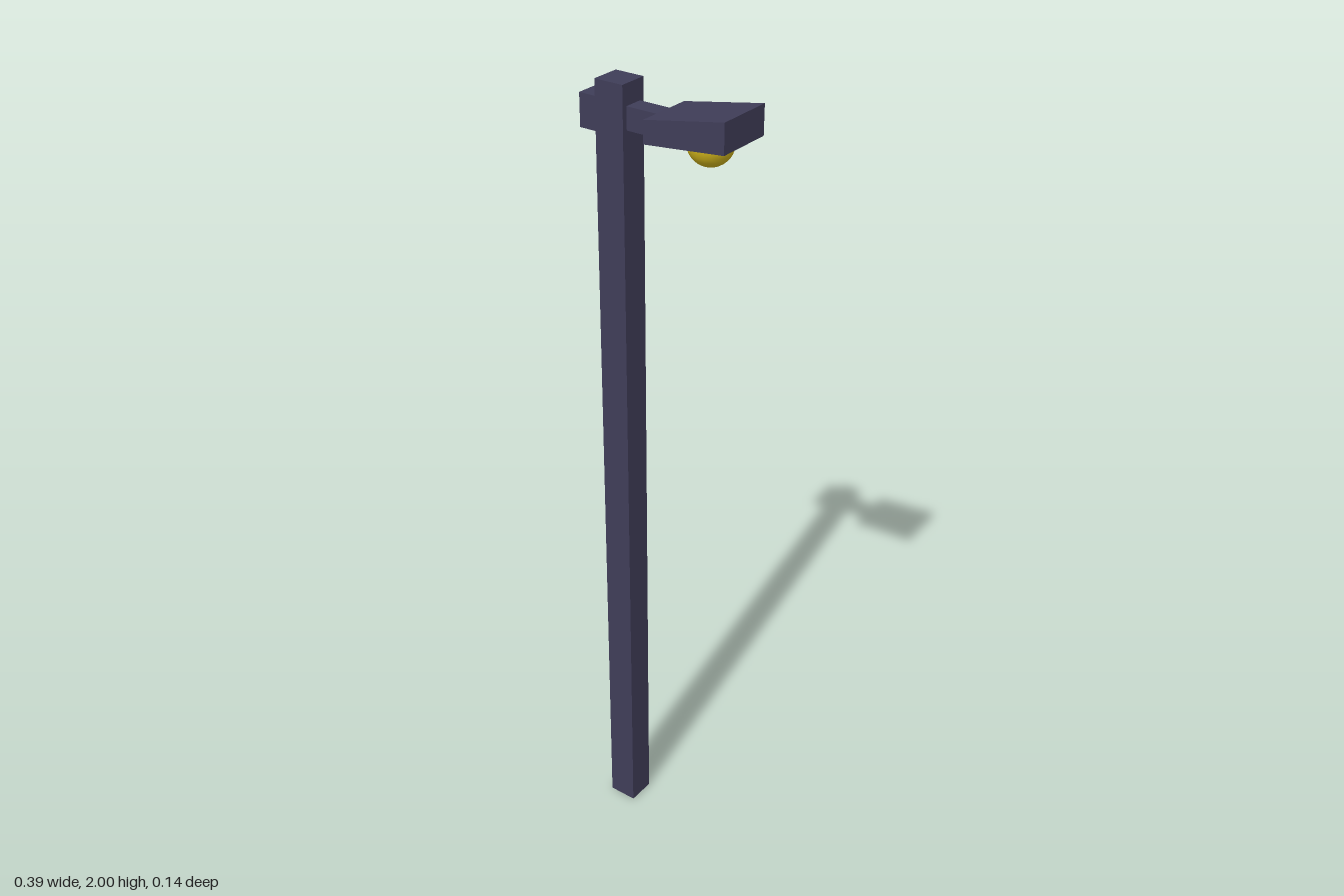
import * as THREE from 'three';

export function createModel() {
  const group = new THREE.Group();
  const metal = new THREE.MeshStandardMaterial({ color: 0x3f3d58 });
  metal.name = 'dark metal';
  const glow = new THREE.MeshStandardMaterial({ color: 0xd0b41c });
  glow.name = 'bulb yellow';

  const add = (name, geometry, material) => {
    const mesh = new THREE.Mesh(geometry, material);
    mesh.name = name;
    group.add(mesh);
    return mesh;
  };
  // Box given by its lower and upper corners
  const box = ([x0, y0, z0], [x1, y1, z1]) =>
    new THREE.BoxGeometry(x1 - x0, y1 - y0, z1 - z0)
      .translate((x0 + x1) / 2, (y0 + y1) / 2, (z0 + z1) / 2);

  // Square post with a block behind it and a short arm
  add('post', box([-0.155, 0, -0.034], [-0.082, 2, 0.038]), metal);
  add('rearBlock', box([-0.197, 1.887, -0.034], [-0.155, 1.963, 0.038]), metal);
  add('arm', box([-0.082, 1.9, -0.021], [-0.005, 1.952, 0.025]), metal);

  // Lamp head: side profile rising outwards, extruded across z
  const profile = new THREE.Shape([
    [-0.005, 1.9], [0.195, 1.92], [0.195, 1.988], [-0.005, 1.952],
  ].map(([x, y]) => new THREE.Vector2(x, y)));
  const head = new THREE.ExtrudeGeometry(profile, { depth: 0.142, bevelEnabled: false });
  add('lampHead', head.translate(0, 0, -0.072), metal);

  // Round bulb half sunk into the underside
  add('bulb', new THREE.SphereGeometry(0.052, 20, 14), glow).position.set(0.115, 1.912, 0);

  return group;
}
